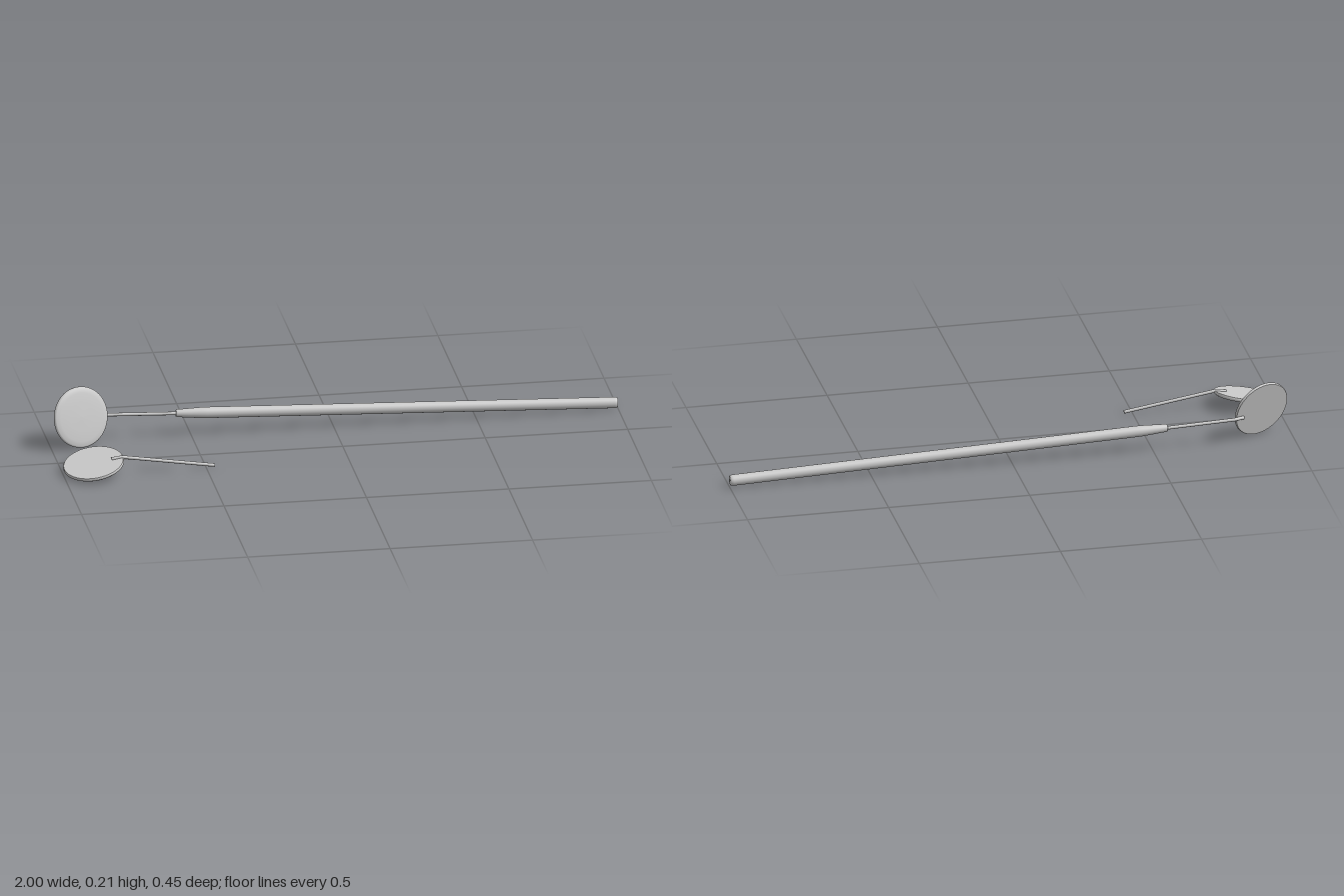
import * as THREE from 'three';

const material = new THREE.MeshStandardMaterial({ color: 0xcccccc });
const UP = new THREE.Vector3(0, 1, 0);
const v = (x, y, z) => new THREE.Vector3(x, y, z);

function add(parent, name, geometry) {
  const mesh = new THREE.Mesh(geometry, material);
  mesh.name = name;
  parent.add(mesh);
  return mesh;
}

// Round solid turned about the line from a to b; profile holds [radius, distance] pairs
function turned(parent, name, a, b, profile, sides) {
  const points = profile.map(([r, d]) => new THREE.Vector2(r, d));
  const mesh = add(parent, name, new THREE.LatheGeometry(points, sides));
  mesh.position.copy(a);
  mesh.quaternion.setFromUnitVectors(UP, b.clone().sub(a).normalize());
}

// Thin wire stem through a list of points
function stem(parent, name, points) {
  const r = 0.006;
  for (let i = 0; i < points.length - 1; i++) {
    const [a, b] = [points[i], points[i + 1]];
    const length = a.distanceTo(b);
    const mesh = add(parent, name, new THREE.CylinderGeometry(r, r, length, 16));
    mesh.position.copy(a).lerp(b, 0.5);
    mesh.quaternion.setFromUnitVectors(UP, b.clone().sub(a).normalize());
    if (i > 0) add(parent, name + 'Bend', new THREE.SphereGeometry(r, 16, 10)).position.copy(a);
  }
}

// Round head: flat mirror on one side, shallow smooth back on the other
function mirrorHead(parent, name, centre, normal) {
  const head = new THREE.Group();
  head.name = name;
  const R = 0.106;
  const back = [[0, -0.018], [0.05, -0.0172], [0.085, -0.0155], [0.101, -0.013], [R, -0.009], [R, -0.003], [0.104, 0]]
    .map(([r, y]) => new THREE.Vector2(r, y));
  add(head, 'headBack', new THREE.LatheGeometry(back, 48));
  add(head, 'mirrorFace', new THREE.CircleGeometry(0.104, 48).rotateX(-Math.PI / 2));
  head.position.copy(centre);
  head.quaternion.setFromUnitVectors(UP, normal.normalize());
  parent.add(head);
}

export function createModel() {
  const model = new THREE.Group();
  model.name = 'inspectionMirrors';

  // Complete mirror with handle
  const full = new THREE.Group();
  full.name = 'handledMirror';
  mirrorHead(full, 'mirrorHead', v(-0.895, 0.103, -0.168), v(-0.4, -0.29, -1));
  stem(full, 'stem', [v(-0.825, 0.091, -0.198), v(-0.79, 0.09, -0.207), v(-0.54, 0.08, -0.206)]);
  const a = v(-0.552, 0.081, -0.206), b = v(0.998, 0.024, -0.204);
  const L = a.distanceTo(b);
  turned(full, 'handle', a, b, [
    [0, 0], [0.011, 0], [0.0135, 0.004], [0.0165, 0.05], [0.019, 0.09], [0.0195, 0.11],
    [0.0195, L - 0.012], [0.0185, L - 0.004], [0.016, L], [0, L],
  ], 24);
  model.add(full);

  // Spare mirror head on a short stem
  const spare = new THREE.Group();
  spare.name = 'spareMirror';
  mirrorHead(spare, 'mirrorHead', v(-0.895, 0.043, 0.119), v(-0.17, 1, 0.17));
  stem(spare, 'stem', [v(-0.832, 0.054, 0.124), v(-0.795, 0.059, 0.124), v(-0.47, 0.0085, 0.124)]);
  model.add(spare);

  return model;
}
